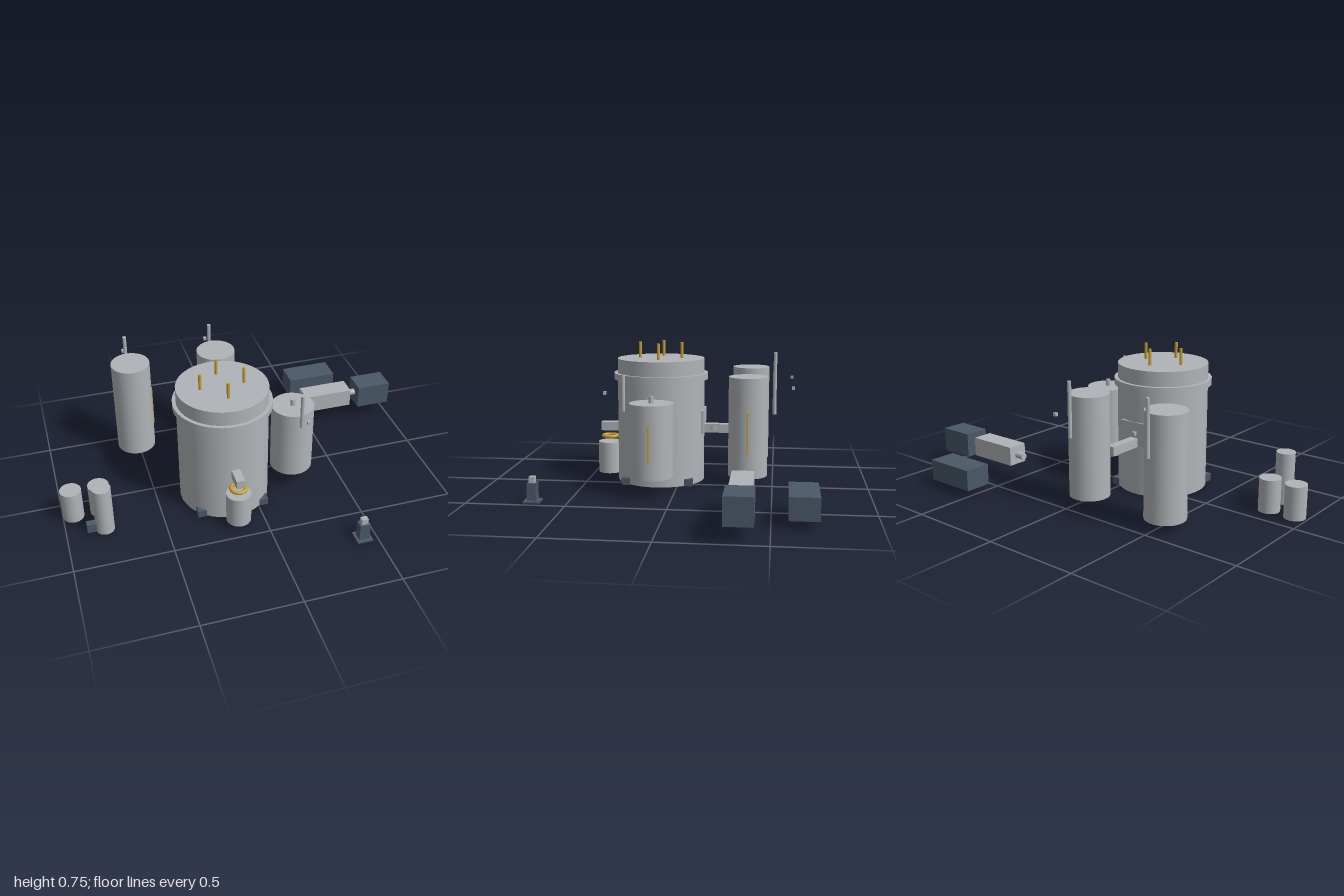
import * as THREE from 'three';

const mat = (name, color) => {
  const m = new THREE.MeshStandardMaterial({ color });
  m.name = name;
  return m;
};

export function createModel() {
  const steel = mat('steel', 0xb0b4b8);
  const dark = mat('darkSlate', 0x4a5868);
  const gold = mat('gold', 0xc8a030);
  const red = mat('heaterRed', 0xaa3322);

  const model = new THREE.Group();
  model.name = 'processPlant';

  const group = (name, x = 0, z = 0) => {
    const g = new THREE.Group();
    g.name = name;
    g.position.set(x, 0, z);
    model.add(g);
    return g;
  };
  const add = (parent, name, geo, m, x, y, z) => {
    const mesh = new THREE.Mesh(geo, m);
    mesh.name = name;
    mesh.position.set(x, y, z);
    parent.add(mesh);
    return mesh;
  };
  // Upright cylinder between heights y0 and y1
  const cyl = (parent, name, m, r, y0, y1, x = 0, z = 0, sides = 32) =>
    add(parent, name, new THREE.CylinderGeometry(r, r, y1 - y0, sides), m, x, (y0 + y1) / 2, z);
  // Box given by its x, y and z ranges
  const box = (parent, name, m, [x0, x1], [y0, y1], [z0, z1]) =>
    add(parent, name, new THREE.BoxGeometry(x1 - x0, y1 - y0, z1 - z0), m,
      (x0 + x1) / 2, (y0 + y1) / 2, (z0 + z1) / 2);

  // Main vessel with flange, electrodes and feet
  const vessel = group('mainVessel', -0.138, 0.109);
  cyl(vessel, 'vesselBody', steel, 0.235, 0.002, 0.664, 0, 0, 48);
  cyl(vessel, 'vesselFlange', steel, 0.254, 0.553, 0.587, 0, 0, 48);
  cyl(vessel, 'vesselBasePlate', dark, 0.23, 0, 0.008, 0, 0, 48);
  for (let i = 0; i < 4; i++) {
    const a = i * Math.PI / 2;
    cyl(vessel, 'electrode', gold, 0.008, 0.6, 0.749, 0.113 * Math.cos(a), 0.113 * Math.sin(a), 12);
  }
  for (const sx of [-1, 1]) for (const sz of [-1, 1])
    add(vessel, 'foot', new THREE.BoxGeometry(0.045, 0.038, 0.045), dark, sx * 0.167, 0.019, sz * 0.167);

  // Rear hatch plate, discharge duct and valve disc
  box(vessel, 'hatchPlate', steel, [-0.086, 0.086], [0.265, 0.39], [-0.239, -0.224]);
  box(vessel, 'rearDuct', steel, [-0.022, 0.022], [0.262, 0.309], [-0.427, -0.22]);
  cyl(vessel, 'ductValve', steel, 0.028, 0.279, 0.291, 0, -0.288, 24);

  // Front spout, ring and receiving pot
  box(vessel, 'frontSpout', steel, [-0.022, 0.022], [0.262, 0.309], [0.22, 0.33]);
  const ring = add(vessel, 'spoutRing', new THREE.TorusGeometry(0.038, 0.01, 12, 32), gold, 0, 0.23, 0.284);
  ring.rotation.x = Math.PI / 2;
  cyl(vessel, 'receivingPot', steel, 0.064, 0.03, 0.2, 0, 0.285);

  // Tank with a level gauge on its left, a probe rod and a small sensor
  const tank = (name, x, z, r, [y0, y1], [g0, g1], [p0, p1], probeZ, sensorZ) => {
    const t = group(name, x, z);
    cyl(t, 'tankBody', steel, r, y0, y1);
    box(t, 'levelGauge', gold, [r - 0.006, r + 0.005], [g0, g1], [-0.004, 0.004]);
    cyl(t, 'probeRod', steel, 0.01, p0, p1, 0, probeZ, 12);
    add(t, 'sensor', new THREE.BoxGeometry(0.016, 0.016, 0.016), steel, 0, 0.522, sensorZ);
    return t;
  };
  for (const x of [-0.518, -0.044])
    tank('rearTank', x, -0.367, 0.104, [0.05, 0.58], [0.17, 0.405], [0.382, 0.664], -0.138, -0.235);
  const heated = tank('heatedTank', 0.24, 0.11, 0.112, [0.098, 0.475], [0.193, 0.378], [0.43, 0.617], 0.142, 0.236);
  cyl(heated, 'heaterPlate', red, 0.1, 0.096, 0.102);
  cyl(heated, 'tankNozzle', steel, 0.013, 0.47, 0.51, 0, 0, 16);

  // Screw conveyor with its motor and control cabinet
  const conveyor = group('conveyor');
  box(conveyor, 'conveyorHousing', steel, [0.48, 0.76], [0.095, 0.197], [-0.418, -0.31]);
  const shaft = add(conveyor, 'conveyorShaft', new THREE.CylinderGeometry(0.018, 0.018, 0.39, 20), steel, 0.625, 0.145, -0.365);
  shaft.rotation.z = Math.PI / 2;
  box(conveyor, 'conveyorMotor', dark, [0.807, 1.0], [0.078, 0.209], [-0.431, -0.298]);
  box(conveyor, 'controlCabinet', dark, [0.48, 0.76], [0.04, 0.15], [-0.719, -0.578]);

  // Small instrument stand
  const stand = group('instrumentStand', 0.429, 0.678);
  box(stand, 'standBase', dark, [-0.041, 0.041], [0, 0.008], [-0.041, 0.041]);
  box(stand, 'standColumn', dark, [-0.027, 0.027], [0.008, 0.097], [-0.023, 0.023]);
  box(stand, 'standHead', steel, [-0.017, 0.017], [0.097, 0.128], [-0.014, 0.014]);
  box(stand, 'standKnob', dark, [-0.004, 0.004], [0.081, 0.089], [-0.03, -0.022]);

  // Filter canisters with a pump
  const filters = group('filterCanisters');
  cyl(filters, 'canister', steel, 0.055, 0.01, 0.182, -0.945, 0.107);
  cyl(filters, 'canister', steel, 0.055, 0.01, 0.182, -0.803, 0.107);
  cyl(filters, 'tallCanister', steel, 0.048, 0.01, 0.277, -0.803, 0.25);
  box(filters, 'pump', dark, [-0.895, -0.845], [0.016, 0.064], [0.23, 0.268]);

  return model;
}
